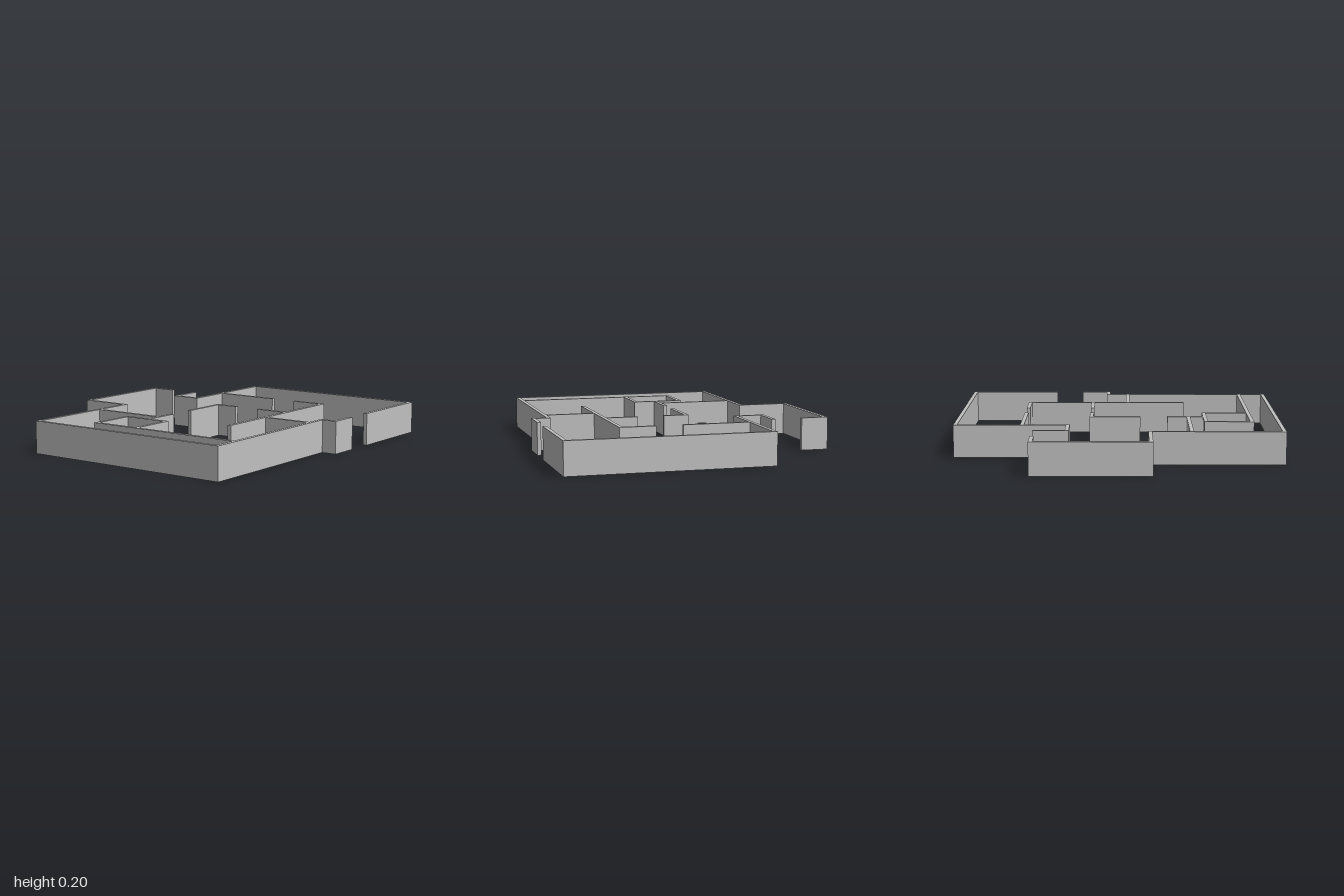
import * as THREE from 'three';

const HEIGHT = 0.2;
const THICK = 0.024;

export function createModel() {
  const model = new THREE.Group();
  model.name = 'floorPlanWalls';
  const wallGray = new THREE.MeshStandardMaterial({ color: 0xc0c0c0 });
  wallGray.name = 'wallGray';

  // A wall along x or z: centre line offset, start, end, optional low opening [from, to, height]
  function addWall(name, axis, at, from, to, opening) {
    const outline = new THREE.Shape();
    outline.moveTo(from, 0);
    if (opening) {
      const [a, b, h] = opening;
      outline.lineTo(a, 0);
      outline.lineTo(a, h);
      outline.lineTo(b, h);
      outline.lineTo(b, 0);
    }
    outline.lineTo(to, 0);
    outline.lineTo(to, HEIGHT);
    outline.lineTo(from, HEIGHT);
    const geometry = new THREE.ExtrudeGeometry(outline, { depth: THICK, bevelEnabled: false });
    geometry.translate(0, 0, -THICK / 2);
    if (axis === 'z') geometry.rotateY(-Math.PI / 2);
    const wall = new THREE.Mesh(geometry, wallGray);
    wall.name = name;
    if (axis === 'x') wall.position.z = at;
    else wall.position.x = at;
    model.add(wall);
  }

  // Outer walls
  addWall('rightOuterWall', 'z', -0.988, -0.573, 0.786);
  addWall('backOuterWall', 'x', -0.561, -1, -0.18);
  addWall('alcoveSideWall', 'z', -0.192, -0.88, -0.549);
  addWall('alcoveBackWall', 'x', -0.868, -0.204, 0.512);
  addWall('alcoveEndWall', 'z', 0.5, -0.88, -0.71);
  addWall('backDoorReturn', 'x', -0.527, 0.292, 0.508);
  addWall('backDoorSide', 'z', 0.304, -0.539, -0.344);
  addWall('backLeftWall', 'x', -0.356, 0.292, 1);
  addWall('leftOuterWall', 'z', 0.988, -0.368, 0.88);
  addWall('frontLeftWall', 'x', 0.868, 0.42, 1);
  addWall('frontDoorReturn', 'x', 0.868, 0.056, 0.248);
  addWall('frontStepWall', 'z', 0.068, 0.762, 0.88);
  addWall('frontRightWall', 'x', 0.774, -1, 0.08);

  // Small square room and the corridor beside it
  addWall('corridorWall', 'z', -0.825, -0.252, 0.78, [0.44, 0.51, 0.055]);
  addWall('smallRoomLeftWall', 'z', -0.543, -0.252, 0.07);
  addWall('smallRoomBackWall', 'x', -0.24, -0.837, -0.531);
  addWall('smallRoomFrontWall', 'x', 0.058, -0.837, -0.531);

  // Inner partitions
  addWall('backRoomPartition', 'z', -0.44, -0.561, -0.066, [-0.4, -0.34, 0.055]);
  addWall('middleDoorStub', 'x', -0.077, -0.543, -0.308);
  addWall('middlePartition', 'x', -0.077, -0.139, 0.178);
  addWall('middleReturn', 'z', 0.166, -0.089, 0.07);
  addWall('hallLowerStub', 'z', 0.166, 0.236, 0.45);
  addWall('leftRoomPartition', 'z', 0.582, -0.356, 0.07);
  addWall('leftRoomLowerStub', 'z', 0.582, 0.236, 0.46);
  addWall('frontRoomPartition', 'x', 0.448, -0.433, 0.594);
  addWall('frontRoomDivider', 'z', -0.064, 0.448, 0.774);

  return model;
}
